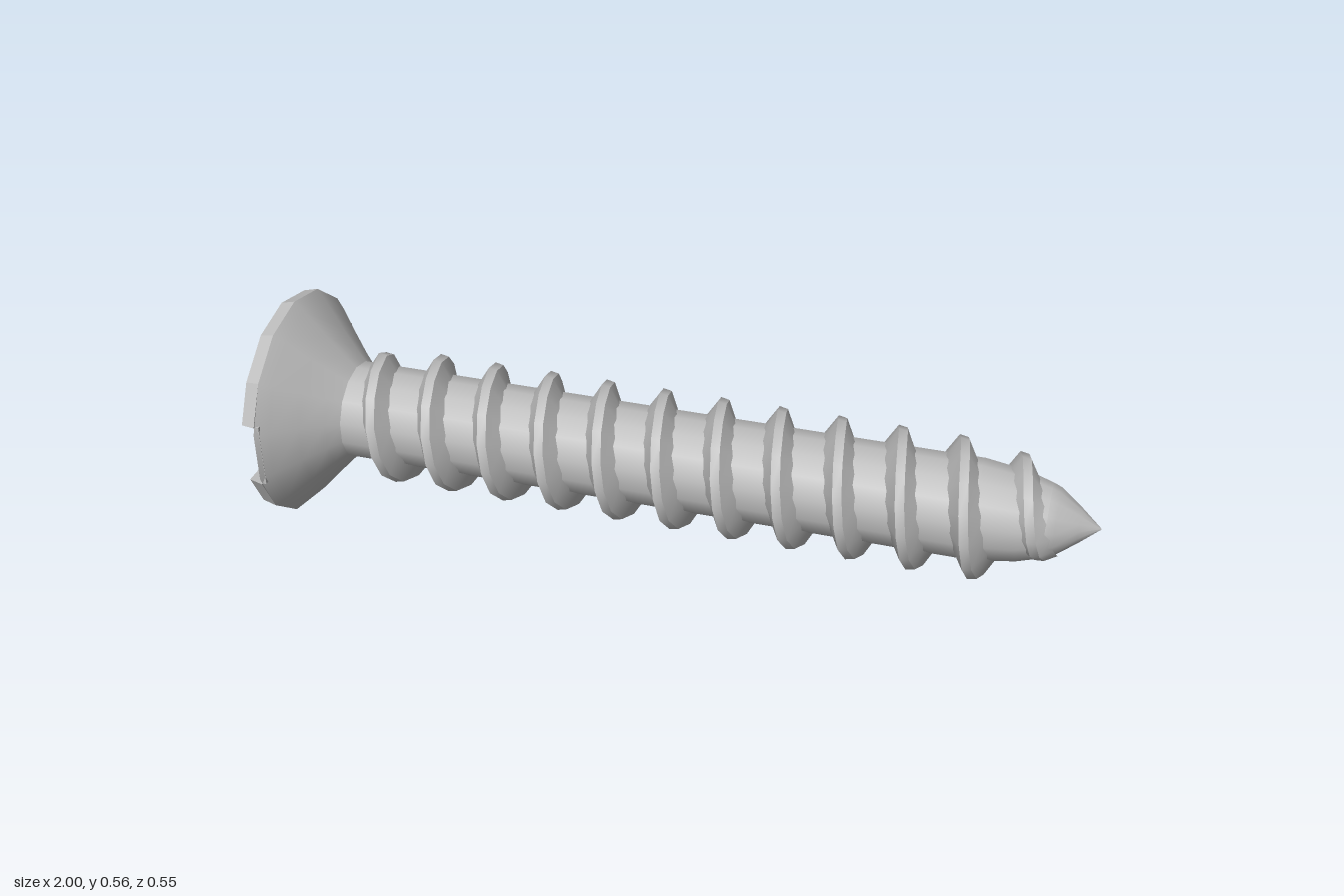
import * as THREE from 'three';

const SIDES = 14;
const TAU = Math.PI * 2;

export function createModel() {
  const steel = new THREE.MeshStandardMaterial({ color: 0xbcbcbc });
  steel.name = 'steel';
  const model = new THREE.Group();
  model.name = 'screw';

  // The screw is built along x around y = 0, then lifted and turned slightly
  const add = (name, geometry) => {
    const mesh = new THREE.Mesh(geometry, steel);
    mesh.name = name;
    model.add(mesh);
    return mesh;
  };

  // Turned part from [x, radius] pairs
  const turned = (pairs) => new THREE.LatheGeometry(
    pairs.map(([x, r]) => new THREE.Vector2(r, x)), SIDES, Math.PI / 2
  ).rotateZ(-Math.PI / 2);

  // Countersunk underside of the head
  add('headCone', turned([[-0.965, 0.28], [-0.94, 0.255], [-0.89, 0.197], [-0.845, 0.147], [-0.815, 0.117]]));

  // Shank and pointed tip
  add('shank', turned([[-0.85, 0.12], [-0.3, 0.12], [0.3, 0.12], [0.72, 0.12]]));
  add('shankTaper', turned([[0.72, 0.12], [0.82, 0.106], [0.88, 0.088]]));
  add('tip', turned([[0.88, 0.088], [0.9, 0.08], [0.95, 0.042], [1, 0]]));

  // Two halves of the head face, separated by the driver slot
  const R = 0.28, slot = 0.08;
  const points = [];
  for (let k = 0; k <= SIDES; k++) {
    const a = k * TAU / SIDES;
    const x = R * Math.sin(a), y = R * Math.cos(a);
    if (y > slot) points.push(new THREE.Vector2(x, y));
  }
  points.pop(); // the first corner repeats at the full turn
  points.sort((p, q) => q.x - p.x);
  const outline = [new THREE.Vector2(0.268, slot), ...points, new THREE.Vector2(-0.268, slot)];
  for (const half of [0, 1]) {
    const geo = new THREE.ExtrudeGeometry(new THREE.Shape(outline), { depth: 0.035, bevelEnabled: false });
    geo.rotateY(-Math.PI / 2).translate(-0.965, 0, 0);
    const p = geo.attributes.position;
    for (let i = 0; i < p.count; i++) {
      if (p.getX(i) < -0.99) { // the rim narrows towards the face
        p.setY(i, p.getY(i) * 0.97);
        p.setZ(i, p.getZ(i) * 0.97);
      }
    }
    geo.computeVertexNormals();
    add(half ? 'lowerHeadFace' : 'upperHeadFace', geo).rotation.x = half * Math.PI;
  }

  // Slot floor, slightly deeper towards the rim
  const floor = new THREE.BoxGeometry(0.04, slot * 2, 0.528, 1, 1, 8).translate(-0.965, 0, 0);
  const f = floor.attributes.position;
  for (let i = 0; i < f.count; i++) {
    if (f.getX(i) < -0.97) f.setX(i, -0.985 + 0.02 * (f.getZ(i) / 0.264) ** 2);
    else f.setX(i, -0.955);
  }
  floor.computeVertexNormals();
  add('slotFloor', floor);

  add('thread', threadGeometry());

  model.position.set(0, 0.28, -0.0175);
  model.rotation.y = 0.0175;
  const group = new THREE.Group();
  group.add(model);
  return group;
}

// Helical ridge: a small trapezoid swept along the shank
function threadGeometry() {
  const pitch = 0.1425, startTurn = -0.3, endTurn = 11.6;
  const steps = Math.round((endTurn - startTurn) * SIDES);
  const profile = [[-0.042, 0], [-0.009, 1], [0.012, 0.93], [0.04, 0]]; // x offset, height
  const pos = [], index = [];
  const ring = (i, [dx, h]) => {
    const turn = startTurn + (endTurn - startTurn) * i / steps;
    const x = -0.75 + pitch * turn;
    const base = x < 0.72 ? 0.115 : 0.115 - (x - 0.72) * 0.21;
    const fade = Math.min(1, (turn - startTurn) / 0.3, (endTurn - turn) / 0.7);
    const r = base - 0.006 + 0.056 * h * fade;
    const a = turn * TAU;
    pos.push(x + dx, r * Math.cos(a), r * Math.sin(a));
  };
  for (let s = 0; s < 3; s++) { // separate strips keep the ridge edges sharp
    const first = pos.length / 3;
    for (let i = 0; i <= steps; i++) {
      ring(i, profile[s]);
      ring(i, profile[s + 1]);
      if (i < steps) {
        const n = first + i * 2;
        index.push(n, n + 2, n + 1, n + 2, n + 3, n + 1);
      }
    }
  }
  const geo = new THREE.BufferGeometry();
  geo.setAttribute('position', new THREE.Float32BufferAttribute(pos, 3));
  geo.setIndex(index);
  geo.computeVertexNormals();
  return geo;
}
